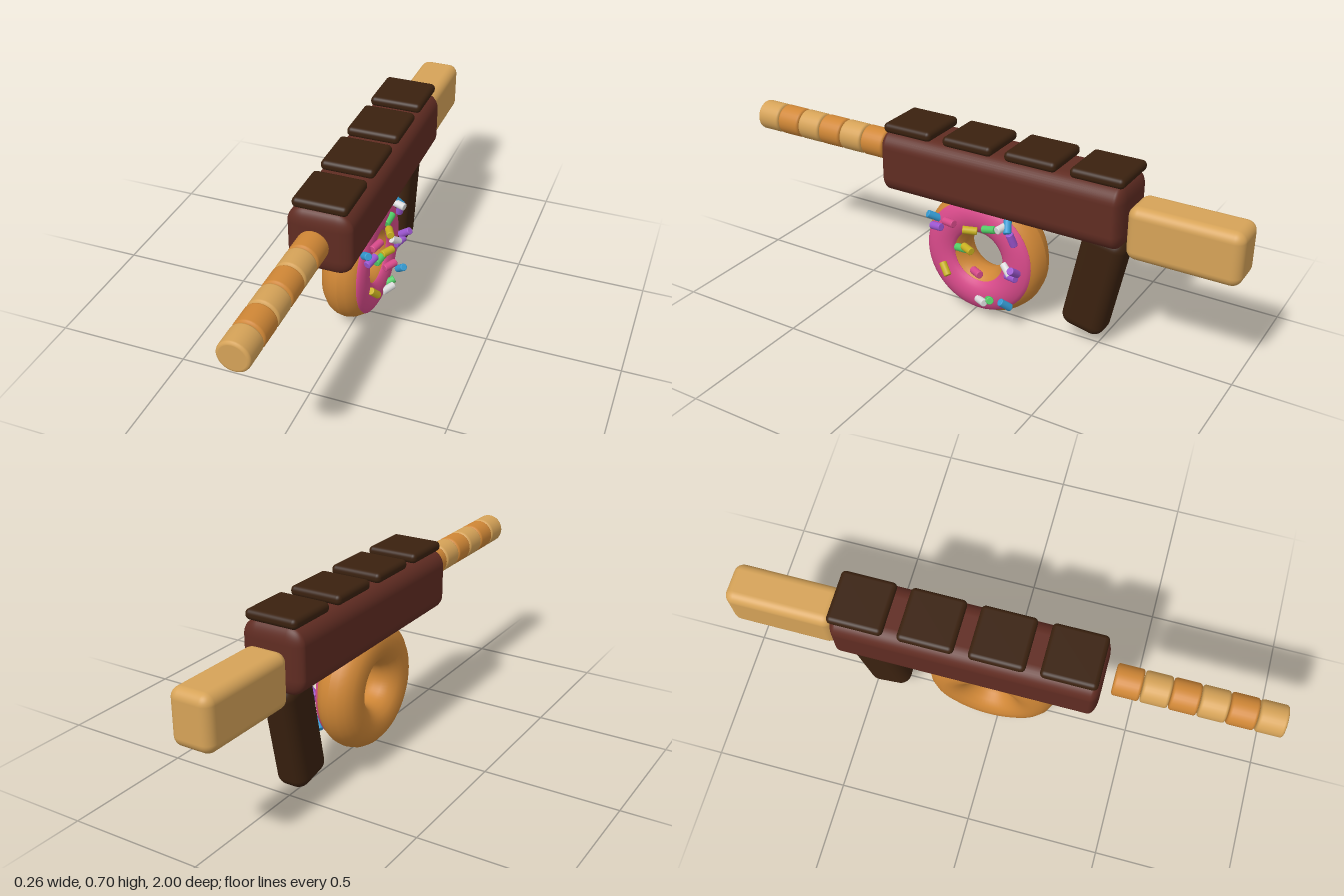
import * as THREE from 'three';
import { RoundedBoxGeometry } from 'three/addons/geometries/RoundedBoxGeometry.js';

const CX = -0.0115; // centre line of everything but the sprinkles

const paint = (name, color) => {
  const m = new THREE.MeshStandardMaterial({ color });
  m.name = name;
  return m;
};

// Cylinder along y with softly rounded rims
function softCylinder(radius, length, bevel, sides) {
  const h = length / 2, r = radius - bevel, pts = [new THREE.Vector2(0, -h), new THREE.Vector2(r * 0.97, -h)];
  for (const end of [-1, 1]) {
    for (let i = 0; i <= 3; i++) {
      const a = ((end < 0 ? i - 3 : i) / 3) * Math.PI / 2;
      pts.push(new THREE.Vector2(r + bevel * Math.cos(a), end * (h - bevel) + bevel * Math.sin(a)));
    }
  }
  pts.push(new THREE.Vector2(r * 0.97, h), new THREE.Vector2(0, h));
  return new THREE.LatheGeometry(pts, sides);
}

export function createModel() {
  const group = new THREE.Group();
  const mats = {
    biscuit: paint('light biscuit', 0xd6a358),
    dough: paint('golden dough', 0xd08736),
    chocolate: paint('milk chocolate', 0x602c22),
    dark: paint('dark chocolate', 0x3a210f),
    pink: paint('pink icing', 0xd84a8a),
    blue: paint('blue sugar', 0x349ad2),
    purple: paint('purple sugar', 0x9c56d0),
    yellow: paint('yellow sugar', 0xc9b120),
    green: paint('green sugar', 0x52cc66),
    white: paint('white sugar', 0xdcdcdc),
  };
  const add = (name, geometry, material, x, y, z, parent = group) => {
    const mesh = new THREE.Mesh(geometry, material);
    mesh.name = name;
    mesh.position.set(x, y, z);
    parent.add(mesh);
    return mesh;
  };

  // Chocolate body, end rounding tighter than the long edges
  const body = add('body', new RoundedBoxGeometry(0.237, 0.236, 1.93, 5, 0.06), mats.chocolate, CX, 0.548, -0.113);
  body.scale.z = 0.5;

  // Chocolate squares on top
  const tile = new RoundedBoxGeometry(0.2, 0.038, 0.2, 4, 0.017);
  for (let i = 0; i < 4; i++) add('topTile', tile, mats.dark, CX, 0.681, 0.257 - i * 0.2505);

  // Barrel of alternating biscuits
  const biscuit = softCylinder(0.057, 0.097, 0.01, 32).rotateX(Math.PI / 2);
  for (let i = 0; i < 6; i++) {
    add('barrelBiscuit', biscuit, i % 2 ? mats.dough : mats.biscuit, CX, 0.57, 0.9515 - i * 0.1);
  }

  // Stock and tilted grip
  add('stock', new RoundedBoxGeometry(0.155, 0.196, 0.402, 5, 0.036), mats.biscuit, CX, 0.498, -0.799);
  const grip = add('grip', new RoundedBoxGeometry(0.12, 0.41, 0.166, 5, 0.042), mats.dark, CX, 0.25, -0.475);
  grip.rotation.x = -0.2;

  // Ring doughnut, iced on the +x side
  const ringPoint = (deg, r) => {
    const a = THREE.MathUtils.degToRad(deg);
    return new THREE.Vector2(0.16 + r * Math.cos(a), r * Math.sin(a));
  };
  const doughProfile = [], icingProfile = [ringPoint(49, 0.084)];
  for (let i = 0; i <= 18; i++) doughProfile.push(ringPoint(i * 20, 0.085));
  for (let i = 0; i <= 8; i++) icingProfile.push(ringPoint(50 + i * 10, 0.09));
  icingProfile.push(ringPoint(131, 0.084));
  const doughnut = new THREE.Group();
  doughnut.name = 'doughnut';
  doughnut.position.set(CX, 0.245, -0.03);
  group.add(doughnut);
  const turn = profile => new THREE.LatheGeometry(profile, 48).rotateZ(-Math.PI / 2);
  add('doughRing', turn(doughProfile), mats.dough, 0, 0, 0, doughnut);
  add('icing', turn(icingProfile), mats.pink, 0, 0, 0, doughnut);

  // Sprinkles: colour, position, direction
  const sprinkle = softCylinder(0.0145, 0.054, 0.003, 14);
  const up = new THREE.Vector3(0, 1, 0);
  const sprinkles = [
    ['blue', 0.076, 0.373, 0.15, 0.6, 0.45, 0.6],
    ['purple', 0.09, 0.342, 0.13, 0.3, 0.2, -1],
    ['pink', 0.09, 0.372, 0.075, 0.3, 0.1, -1],
    ['yellow', 0.105, 0.372, -0.022, 0.5, 0.1, 1],
    ['green', 0.08, 0.382, -0.087, 0.1, 0.25, -1],
    ['white', 0.095, 0.412, -0.15, 1, -0.1, 0.3],
    ['blue', 0.084, 0.416, -0.165, 0.6, -0.7, -0.3],
    ['purple', 0.09, 0.372, -0.186, 0.3, 1, 0.25],
    ['yellow', 0.102, 0.292, -0.01, 0.5, 0, -1],
    ['green', 0.085, 0.278, 0.025, 0.2, 0.15, -1],
    ['pink', 0.1, 0.204, -0.047, 0.6, 0.1, -1],
    ['white', 0.08, 0.238, -0.162, 0.4, -0.6, -0.8],
    ['purple', 0.105, 0.252, -0.205, 0.8, 0.6, 0.15],
    ['purple', 0.09, 0.22, -0.185, 0.4, 0.15, -1],
    ['yellow', 0.09, 0.172, 0.095, 0.3, -0.7, -0.6],
    ['white', 0.09, 0.082, -0.06, 0.5, 0.15, -0.8],
    ['green', 0.08, 0.09, -0.088, 0.6, 0.3, -0.5],
    ['blue', 0.103, 0.106, -0.17, 0.6, 0.6, 0.45],
  ];
  for (const [color, x, y, z, dx, dy, dz] of sprinkles) {
    const mesh = add('sprinkle', sprinkle, mats[color], x, y, z);
    mesh.quaternion.setFromUnitVectors(up, new THREE.Vector3(dx, dy, dz).normalize());
  }
  return group;
}
